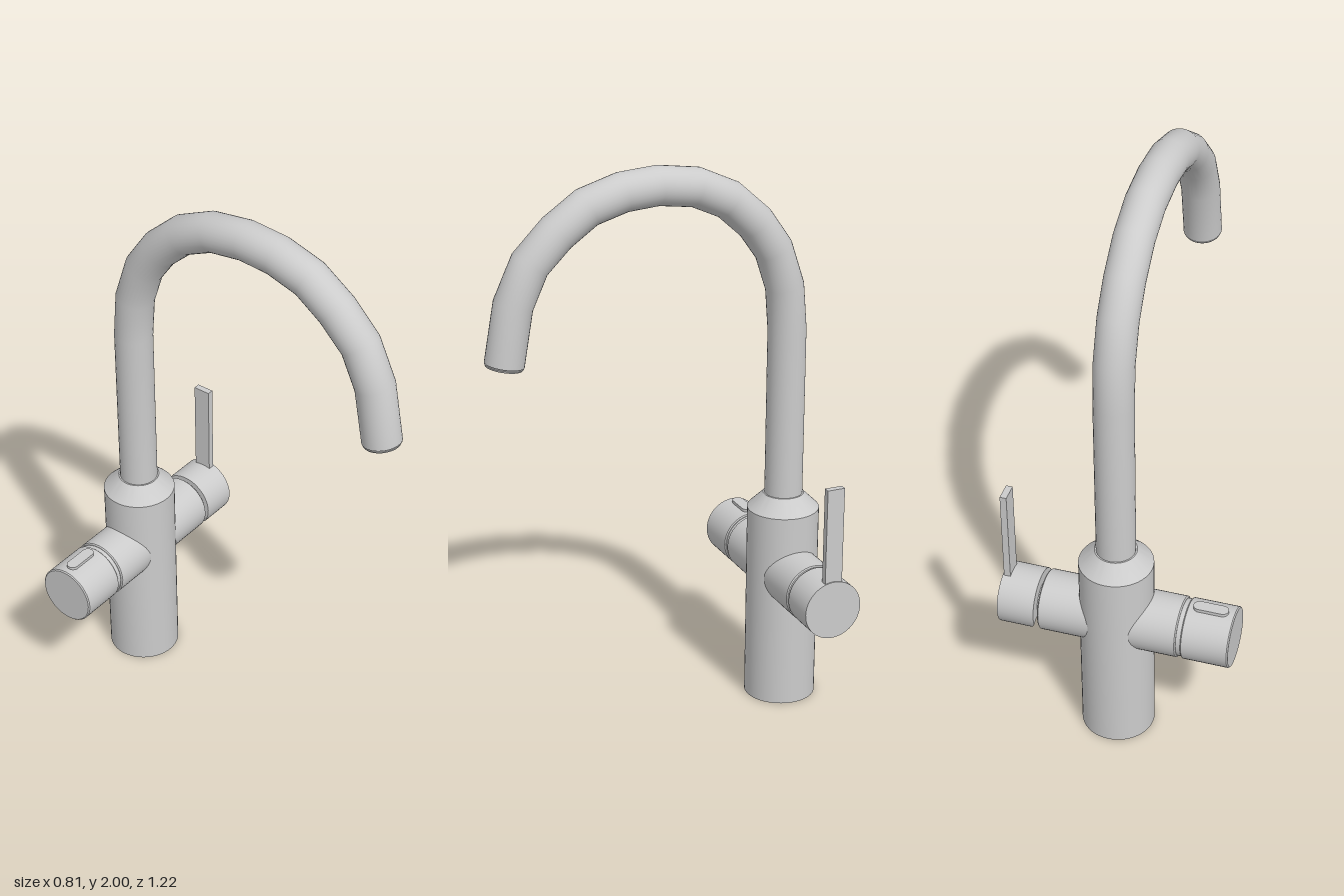
import * as THREE from 'three';
import { toCreasedNormals } from 'three/addons/utils/BufferGeometryUtils.js';

const CX = 0.01, CZ = -0.483, ARM_Y = 0.485;

export function createModel() {
  const group = new THREE.Group();
  const material = new THREE.MeshStandardMaterial({ color: 0xcccccc });

  const add = (name, geometry, x = 0, y = 0, z = 0) => {
    const mesh = new THREE.Mesh(geometry, material);
    mesh.name = name;
    mesh.position.set(x, y, z);
    group.add(mesh);
    return mesh;
  };
  // Turned part with crisp edges; profile is [radius, height] from bottom to top
  const turned = (profile, sides = 40) => toCreasedNormals(
    new THREE.LatheGeometry(profile.map(([r, h]) => new THREE.Vector2(r, h)), sides), 0.5);
  // Turned part lying along x: side +1 points to +x, -1 to -x
  const sideways = (profile, side) => turned(profile).rotateZ(-side * Math.PI / 2);
  // Closed cylinder profile with small bevels on both rims
  const drum = (r, a, b, e = 0.004) =>
    [[0, a], [r - e, a], [r, a + e], [r, b - e], [r - e, b], [0, b]];

  // Upright body with a sloped shoulder
  add('body', turned([[0, 0], [0.127, 0], [0.127, 0.72], [0.078, 0.768], [0.072, 0.775], [0, 0.775]], 48), CX, 0, CZ);

  // Swan-neck spout: one ring of the tube at each [z, y] point
  const path = [
    [-0.483, 0.76], [-0.483, 1.38], [-0.47, 1.535], [-0.425, 1.67], [-0.355, 1.77],
    [-0.255, 1.86], [-0.135, 1.915], [0, 1.934], [0.125, 1.925], [0.25, 1.888],
    [0.355, 1.815], [0.45, 1.72], [0.51, 1.59], [0.545, 1.392],
  ].map(([z, y]) => new THREE.Vector3(CX, y, z));
  const curve = new THREE.CatmullRomCurve3(path);
  curve.getPointAt = curve.getPoint;
  curve.getTangentAt = curve.getTangent;
  add('spout', new THREE.TubeGeometry(curve, path.length - 1, 0.067, 32));

  // Recessed outlet ring following the tilt of the spout tip
  const tip = path[path.length - 1];
  const outlet = add('outlet', turned(
    [[0.067, -0.002], [0.062, 0], [0.062, 0.003], [0.066, 0.004], [0.062, 0.011],
      [0.05, 0.011], [0.046, -0.03], [0, -0.03]], 32), tip.x, tip.y, tip.z);
  outlet.quaternion.setFromUnitVectors(new THREE.Vector3(0, 1, 0), curve.getTangent(1));

  // Side arms, with the narrower necks that leave a groove before each knob
  add('leftArm', sideways(drum(0.105, 0, 0.252), 1), CX, ARM_Y, CZ);
  add('leftNeck', sideways(drum(0.064, 0.24, 0.28), 1), CX, ARM_Y, CZ);
  add('rightArm', sideways(drum(0.105, 0, 0.235), -1), CX, ARM_Y, CZ);
  add('rightNeck', sideways(drum(0.099, 0.22, 0.26), -1), CX, ARM_Y, CZ);
  add('rightKnob', sideways(drum(0.105, 0.251, 0.416), -1), CX, ARM_Y, CZ);

  // Lever knob, its inner face cut back at a slant towards the bottom
  const knob = new THREE.CylinderGeometry(0.105, 0.105, 0.13, 48, 1).rotateZ(-Math.PI / 2);
  const p = knob.attributes.position;
  for (let i = 0; i < p.count; i++) {
    if (p.getX(i) < 0) p.setX(i, p.getX(i) + Math.max(0, -0.04 - p.getY(i)) * 0.45);
  }
  add('leverKnob', toCreasedNormals(knob, 0.5), 0.34, ARM_Y, CZ);

  // Upright lever
  add('lever', new THREE.BoxGeometry(0.023, 0.39, 0.064), 0.389, 0.735, CZ - 0.001);

  // Pill-shaped button on top of the right knob
  const pill = new THREE.Shape();
  pill.absarc(0.04, 0, 0.021, -Math.PI / 2, Math.PI / 2);
  pill.absarc(-0.04, 0, 0.021, Math.PI / 2, Math.PI * 1.5);
  const button = new THREE.ExtrudeGeometry(pill, { depth: 0.026, bevelEnabled: false, curveSegments: 10 });
  add('button', toCreasedNormals(button.rotateX(-Math.PI / 2), 0.5), -0.321, 0.573, CZ - 0.002);

  return group;
}
